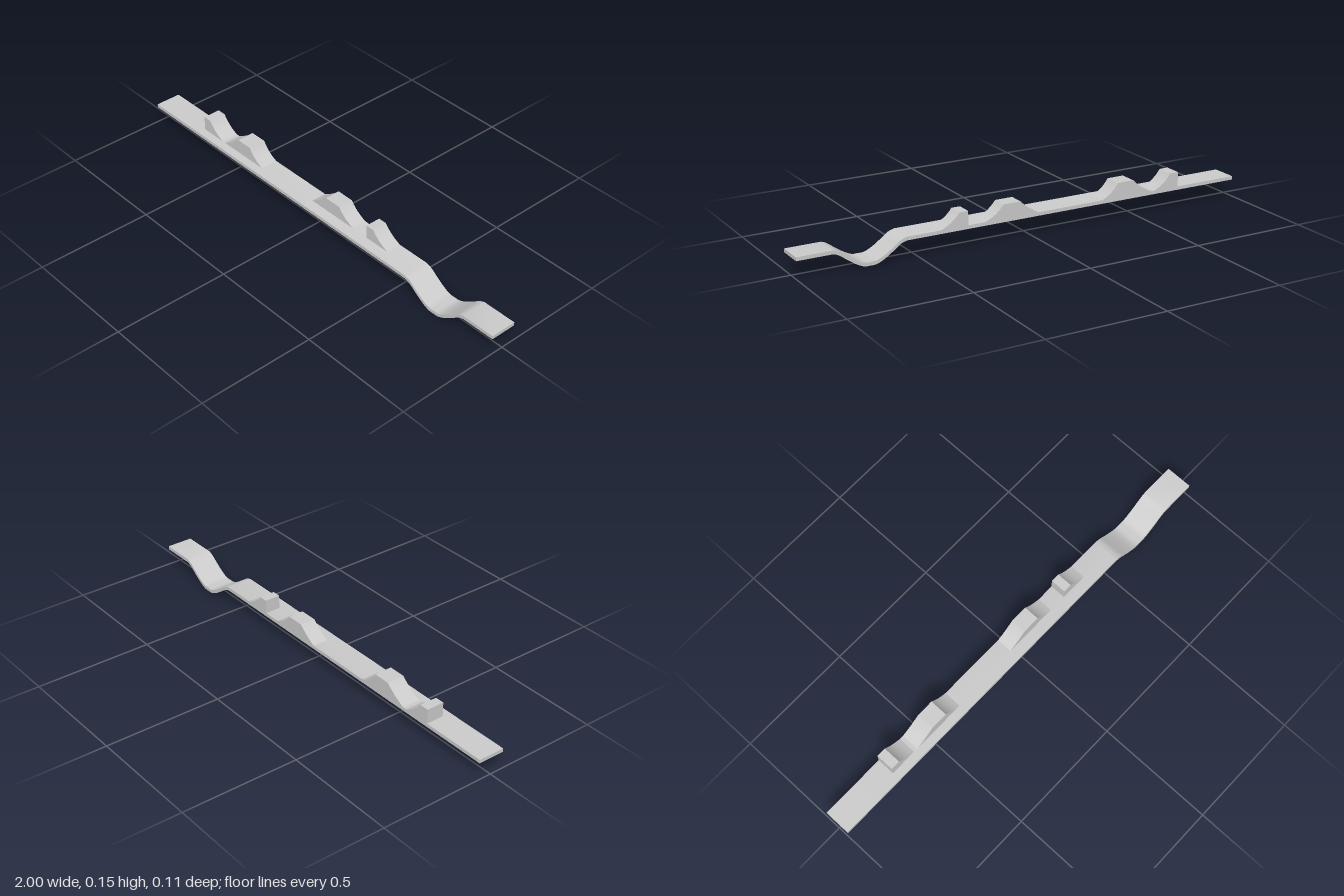
import * as THREE from 'three';
import { toCreasedNormals } from 'three/addons/utils/BufferGeometryUtils.js';

const BACK = -0.057, FRONT = 0.057, TOP = 0.088, THICK = 0.015;
const material = new THREE.MeshStandardMaterial({ color: 0xcccccc });

// Extrudes a side profile from the back edge forward to zFront
function profileMesh(name, shape, zFront) {
  const geometry = new THREE.ExtrudeGeometry(shape, {
    depth: zFront - BACK, bevelEnabled: false, curveSegments: 6,
  });
  geometry.translate(0, 0, BACK);
  const mesh = new THREE.Mesh(toCreasedNormals(geometry, 0.45), material);
  mesh.name = name;
  return mesh;
}

// Flat strip with a smooth dip near its left end
function stripShape() {
  const dip = new THREE.CatmullRomCurve3([
    [0.545, TOP], [0.57, 0.08], [0.605, 0.055], [0.645, 0.029], [0.675, 0.016],
    [0.7, THICK], [0.725, 0.016], [0.755, 0.029], [0.795, 0.055], [0.83, 0.08], [0.85, TOP],
  ].map(([x, y]) => new THREE.Vector3(x, y, 0)));
  const upper = [
    new THREE.Vector2(-1, TOP),
    ...dip.getPoints(30).map((p) => new THREE.Vector2(p.x, p.y)),
    new THREE.Vector2(1, TOP),
  ];
  const lower = upper.map((p) => new THREE.Vector2(p.x, p.y - THICK));
  return new THREE.Shape([...lower, ...upper.reverse()]);
}

// Block with a flat top; each side is a concave ramp, or upright when foot equals top
function rampShape(footA, topA, topB, footB, height) {
  const shape = new THREE.Shape();
  const base = TOP - 0.003;
  shape.moveTo(footA, base);
  shape.lineTo(footB, base);
  shape.lineTo(footB, TOP);
  shape.quadraticCurveTo(topB + (footB - topB) * 0.35, 0.108, topB, height);
  shape.lineTo(topA, height);
  if (footA < topA) shape.quadraticCurveTo(topA - (topA - footA) * 0.4, 0.113, footA, TOP);
  shape.lineTo(footA, base);
  return shape;
}

export function createModel() {
  const group = new THREE.Group();
  group.name = 'rampStrip';
  group.add(profileMesh('strip', stripShape(), FRONT));

  // Two pairs, each a half ramp and a full ramp
  const ramps = [
    ['rightHalfRamp', -0.715, -0.715, -0.675, -0.597, 0.15, 0.02],
    ['rightFullRamp', -0.58, -0.49, -0.415, -0.34, 0.15, 0.02],
    ['leftFullRamp', -0.036, 0.045, 0.123, 0.203, 0.147, 0.01],
    ['leftHalfRamp', 0.28, 0.28, 0.318, 0.4, 0.147, 0.01],
  ];
  for (const [name, footA, topA, topB, footB, height, zFront] of ramps) {
    group.add(profileMesh(name, rampShape(footA, topA, topB, footB, height), zFront));
  }
  return group;
}
